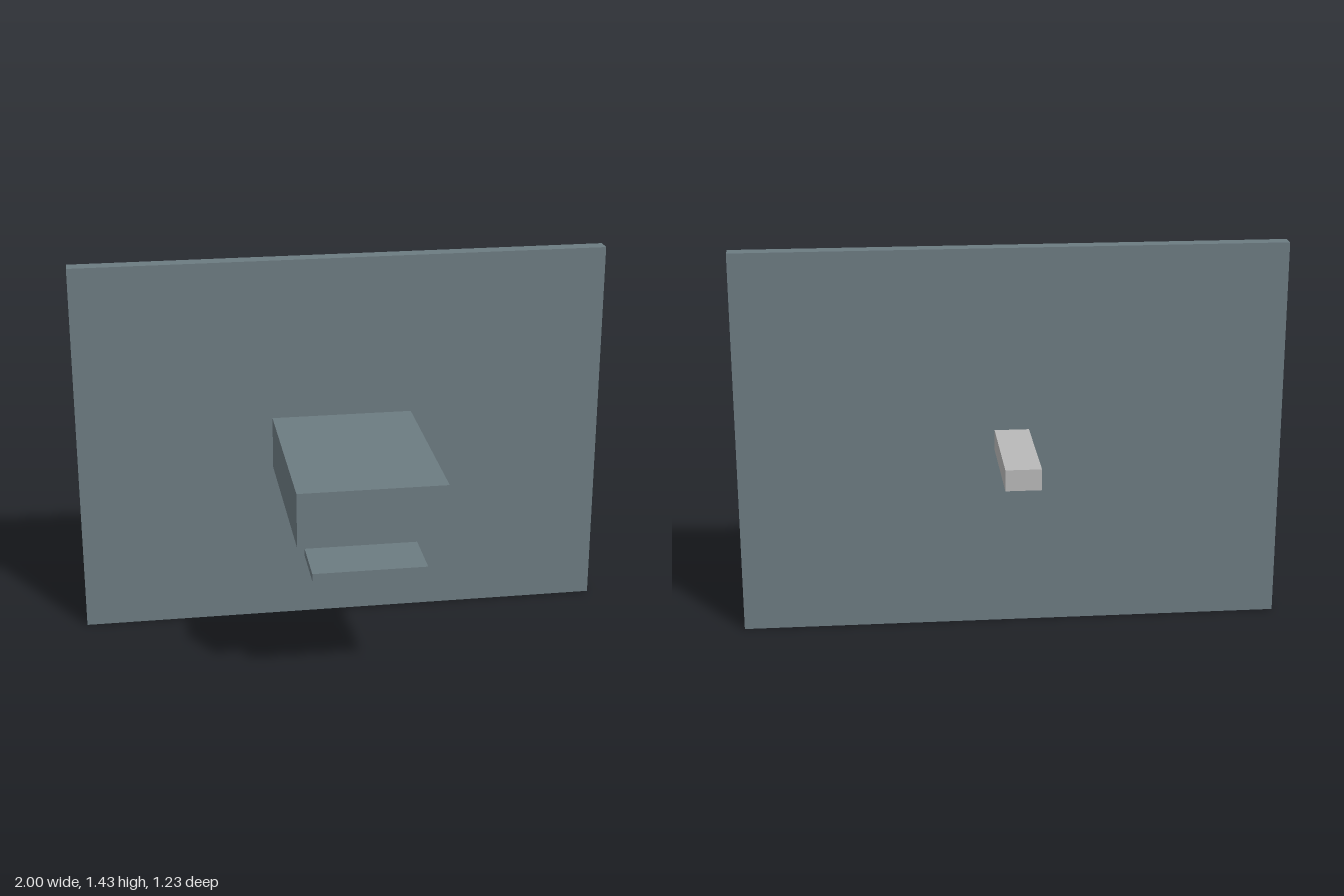
import * as THREE from 'three';

export function createModel() {
  const model = new THREE.Group();
  const slate = new THREE.MeshStandardMaterial({ name: 'slate', color: 0x6c7b81 });
  const paleGrey = new THREE.MeshStandardMaterial({ name: 'paleGrey', color: 0xb8b8b8 });

  // Box centred on x = 0, given its width and its y and z limits
  function block(name, material, width, [y0, y1], [z0, z1]) {
    const mesh = new THREE.Mesh(new THREE.BoxGeometry(width, y1 - y0, z1 - z0), material);
    mesh.name = name;
    mesh.position.set(0, (y0 + y1) / 2, (z0 + z1) / 2);
    model.add(mesh);
  }

  // Upright panel with a bar behind it and a housing in front
  block('panel', slate, 2, [0, 1.43], [-0.178, -0.121]);
  block('rearBar', paleGrey, 0.126, [0.678, 0.754], [-0.615, -0.178]);
  block('housing', slate, 0.53, [0.617, 0.817], [-0.121, 0.615]);

  // Plates under the housing
  block('upperPlate', slate, 0.36, [0.597, 0.617], [0.275, 0.525]);
  block('upperTab', paleGrey, 0.13, [0.59, 0.617], [0, 0.127]);

  // Separate plates hanging below
  block('lowerPlate', slate, 0.412, [0.459, 0.487], [0.35, 0.562]);
  block('lowerTab', paleGrey, 0.07, [0.459, 0.487], [-0.034, 0.034]);

  return model;
}
